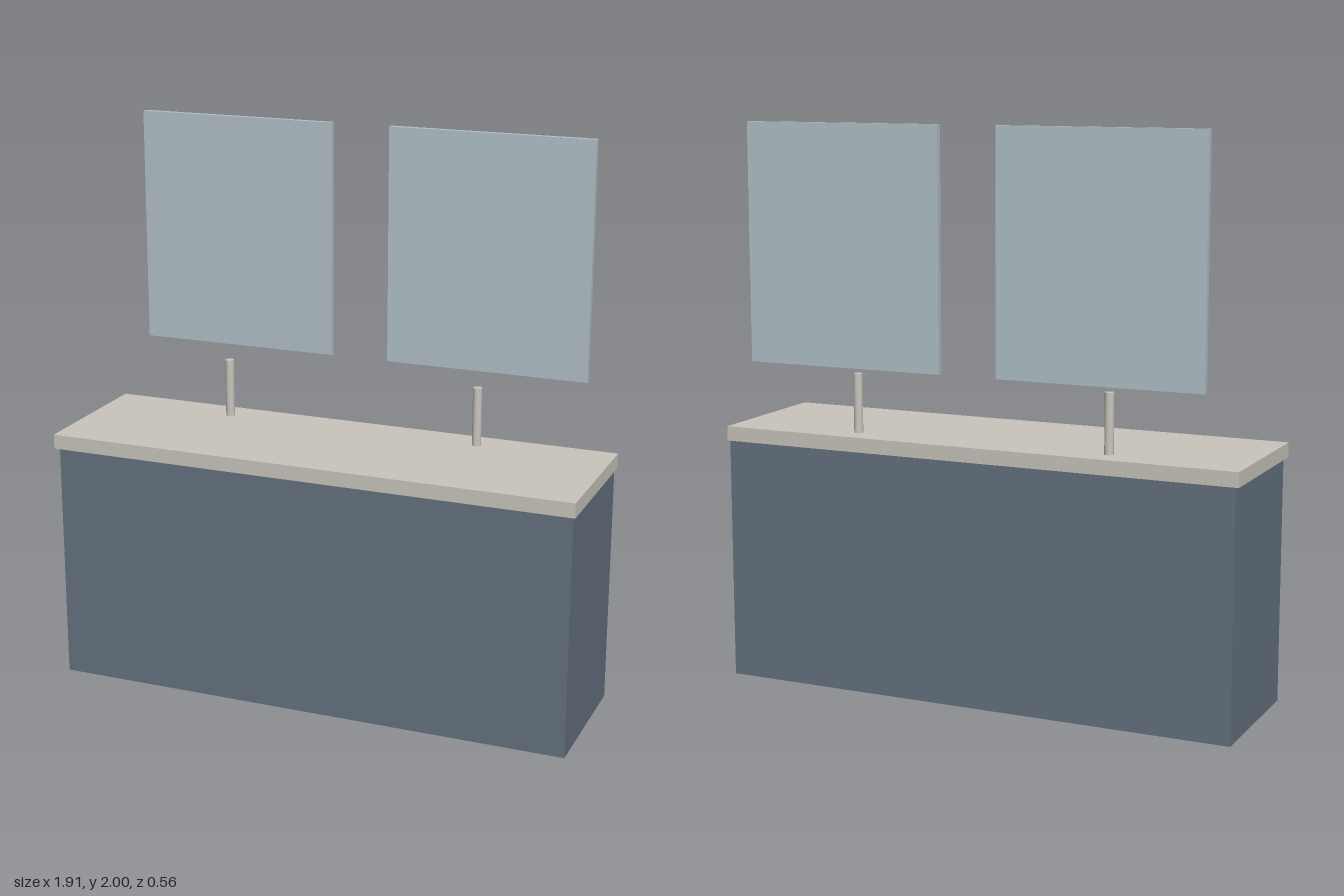
import * as THREE from 'three';

export function createModel() {
  const model = new THREE.Group();
  model.name = 'doubleVanity';

  const paint = (name, color) => {
    const material = new THREE.MeshStandardMaterial({ color });
    material.name = name;
    return material;
  };
  const slateBlue = paint('slate blue', 0x64717f);
  const warmStone = paint('warm stone', 0xc9c5bd);
  const paleGlass = paint('pale glass', 0xb1c1c8);

  const add = (name, geometry, material, x, y, z) => {
    const mesh = new THREE.Mesh(geometry, material);
    mesh.name = name;
    mesh.position.set(x, y, z);
    model.add(mesh);
  };

  // Cabinet and overhanging counter, flush at the back
  add('cabinet', new THREE.BoxGeometry(1.89, 0.866, 0.525), slateBlue, 0, 0.433, -0.005);
  add('counter', new THREE.BoxGeometry(1.912, 0.052, 0.546), warmStone, 0, 0.892, 0.005);

  // A tap and a wall mirror for each basin
  for (const [side, x] of [['left', 0.473], ['right', -0.473]]) {
    add(side + 'Tap', new THREE.CylinderGeometry(0.016, 0.016, 0.21, 20), warmStone, x, 1.023, -0.173);
    add(side + 'Mirror', new THREE.BoxGeometry(0.734, 0.838, 0.021), paleGlass, x, 1.581, -0.2675);
  }

  return model;
}
